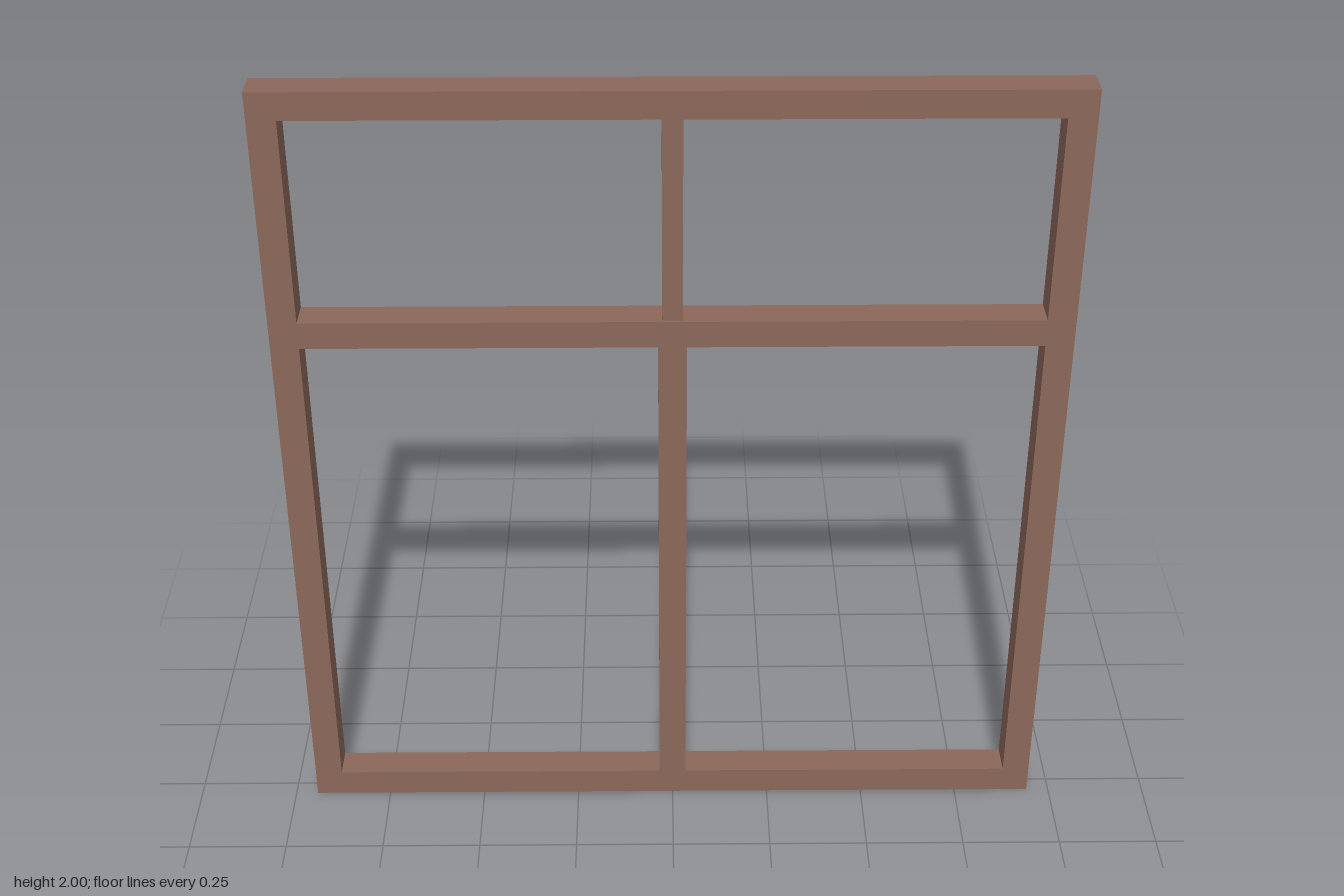
import * as THREE from 'three';

export function createModel() {
  const group = new THREE.Group();
  group.name = 'windowFrame';
  const wood = new THREE.MeshStandardMaterial({ color: 0x8b675a });

  // A squared timber spanning x0..x1 and y0..y1, centred on z = 0
  const timber = (name, x0, x1, y0, y1, depth = 0.08) => {
    const mesh = new THREE.Mesh(new THREE.BoxGeometry(x1 - x0, y1 - y0, depth), wood);
    mesh.position.set((x0 + x1) / 2, (y0 + y1) / 2, 0);
    mesh.name = name;
    group.add(mesh);
  };

  const outer = 0.943, inner = 0.875;

  // Full-height side posts
  timber('leftStile', inner, outer, 0, 2);
  timber('rightStile', -outer, -inner, 0, 2);

  // Horizontal rails between the posts
  timber('bottomRail', -inner, inner, 0, 0.07);
  timber('middleRail', -inner, inner, 1.355, 1.423);
  timber('topRail', -inner, inner, 1.932, 2);

  // Central uprights, the upper one slimmer
  timber('lowerMullion', -0.034, 0.034, 0.07, 1.355);
  timber('upperMullion', -0.024, 0.024, 1.423, 1.932, 0.065);

  return group;
}
